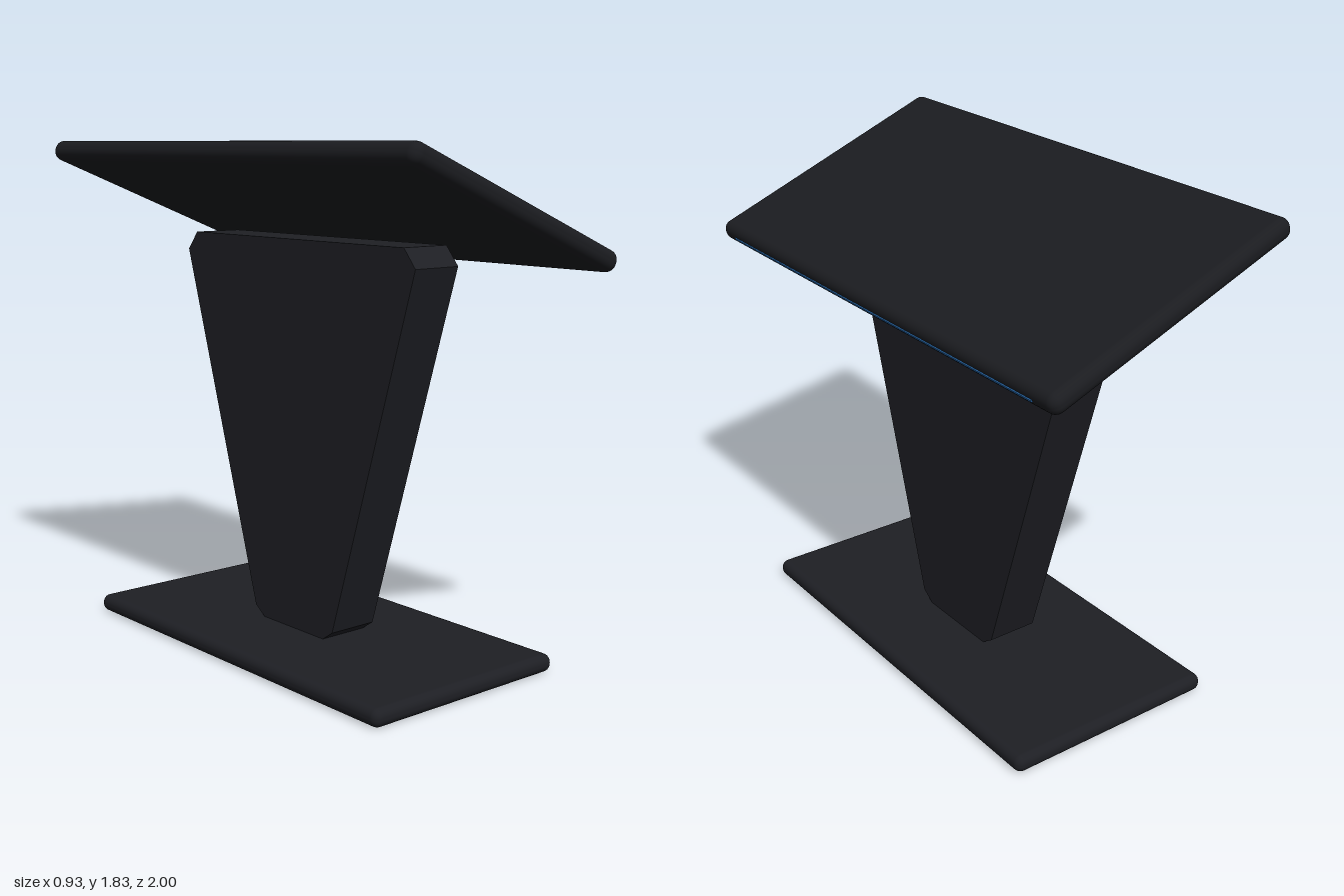
import * as THREE from 'three';
import { RoundedBoxGeometry } from 'three/addons/geometries/RoundedBoxGeometry.js';

const CX = -0.004; // shared centre line in x

function part(name, geometry, color, parent) {
  const mesh = new THREE.Mesh(geometry, new THREE.MeshStandardMaterial({ color }));
  mesh.name = name;
  parent.add(mesh);
  return mesh;
}

export function createModel() {
  const model = new THREE.Group();
  model.name = 'lecternTable';

  // Flat foot plate with rounded edges
  part('base', new RoundedBoxGeometry(0.836, 0.065, 1.61, 4, 0.03), 0x1e1f24, model)
    .position.set(CX, 0.0325, 0);

  // Tapered column: [half depth, height], mirrored, with clipped corners
  const half = [[0.165, 0.062], [0.22, 0.1], [0.625, 1.42], [0.57, 1.487]];
  const outline = [...half, ...half.map(([z, y]) => [-z, y]).reverse()];
  const shape = new THREE.Shape(outline.map(([z, y]) => new THREE.Vector2(z, y)));
  const columnGeometry = new THREE.ExtrudeGeometry(shape, { depth: 0.194, bevelEnabled: false });
  columnGeometry.translate(0, 0, -0.097);
  const column = part('column', columnGeometry, 0x1e1f24, model);
  column.rotation.y = -Math.PI / 2;
  column.position.x = CX;

  // Sloping top with a light strip along its lower edge
  const top = new THREE.Group();
  top.name = 'slopedTop';
  top.position.set(CX, 1.616, 0);
  top.rotation.z = THREE.MathUtils.degToRad(-21.9);
  model.add(top);
  part('tabletop', new RoundedBoxGeometry(0.998, 0.076, 2, 4, 0.035), 0x1b1c20, top);
  part('edgeStrip', new THREE.BoxGeometry(0.01, 0.008, 1.8), 0x2a6cb0, top)
    .position.set(0.498, 0, 0);

  return model;
}
